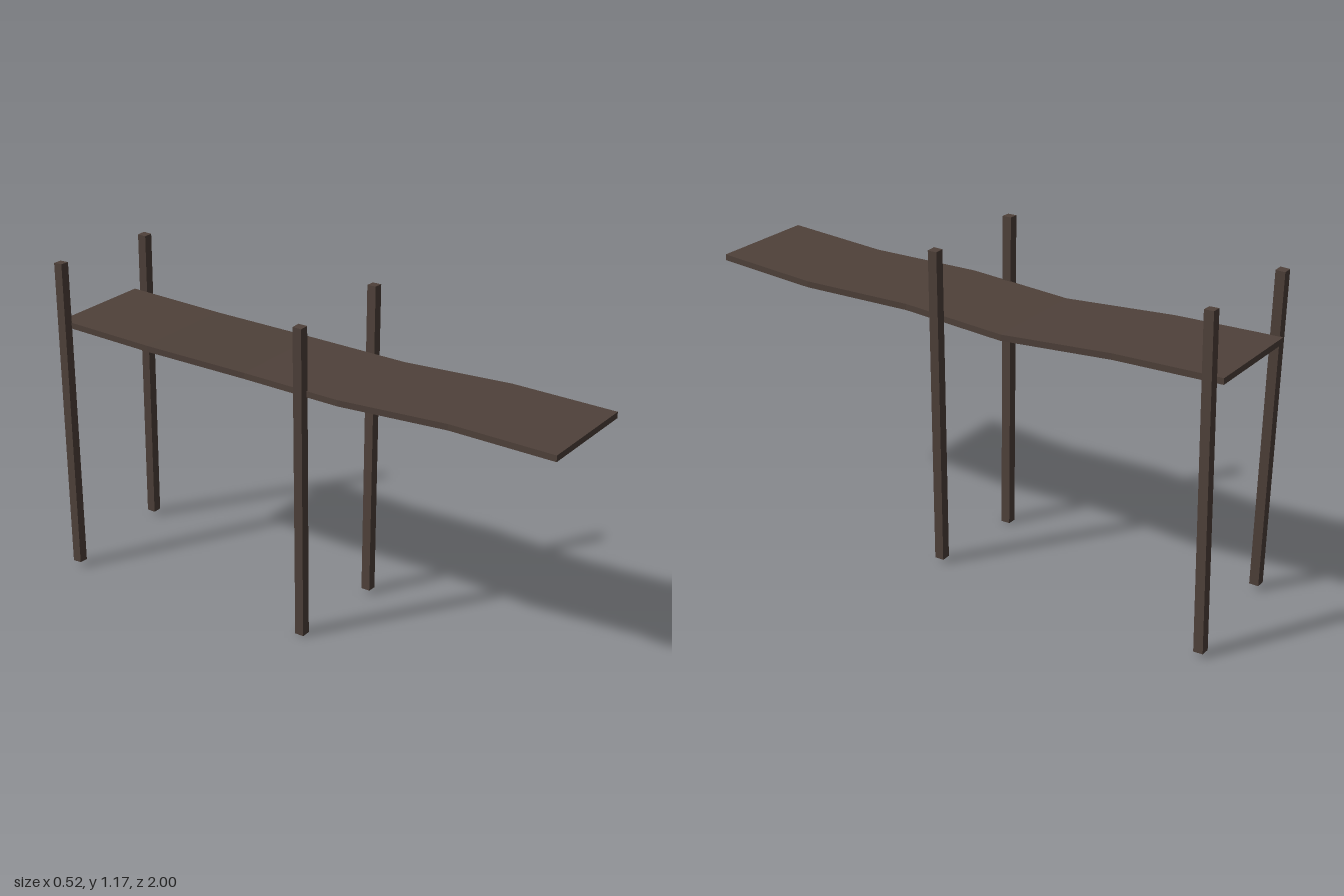
import * as THREE from 'three';

const darkWood = new THREE.MeshStandardMaterial({ color: 0x4f413a });
darkWood.name = 'darkWood';

// Square post leaning from its foot to its head
function makePost(name, foot, head) {
  const a = new THREE.Vector3(...foot);
  const b = new THREE.Vector3(...head);
  const dir = b.clone().sub(a);
  const post = new THREE.Mesh(new THREE.BoxGeometry(0.034, dir.length(), 0.034), darkWood);
  post.position.copy(a).add(b).multiplyScalar(0.5);
  post.quaternion.setFromUnitVectors(new THREE.Vector3(0, 1, 0), dir.normalize());
  post.name = name;
  return post;
}

// Plank bent through stations of [z, sideways shift, top height]
function makeDeck() {
  const stations = [
    [-0.99, 0, 0.947], [-0.6, 0, 0.937], [-0.2, 0.03, 0.92],
    [0.2, 0, 0.93], [0.6, 0.03, 0.937], [1, 0, 0.947],
  ];
  const thickness = 0.022;
  const n = stations.length - 1;
  let geo = new THREE.BoxGeometry(0.4, thickness, n, 1, 1, n);
  const p = geo.attributes.position;
  for (let i = 0; i < p.count; i++) {
    const [z, shift, top] = stations[Math.round(p.getZ(i) + n / 2)];
    p.setXYZ(i, p.getX(i) + shift, top - thickness / 2 + p.getY(i), z);
  }
  geo = geo.toNonIndexed();
  geo.computeVertexNormals();
  const deck = new THREE.Mesh(geo, darkWood);
  deck.name = 'deck';
  return deck;
}

export function createModel() {
  const model = new THREE.Group();
  model.name = 'woodenPier';
  model.add(
    makeDeck(),
    makePost('middleRightPost', [-0.18, 0.001, 0.041], [-0.208, 1.155, 0.059]),
    makePost('middleLeftPost', [0.199, 0.015, 0.064], [0.243, 1.163, 0.046]),
    makePost('backRightPost', [-0.246, 0.02, -0.93], [-0.208, 1.168, -0.969]),
    makePost('backLeftPost', [0.243, 0.016, -0.981], [0.213, 1.164, -0.943]),
  );
  return model;
}
